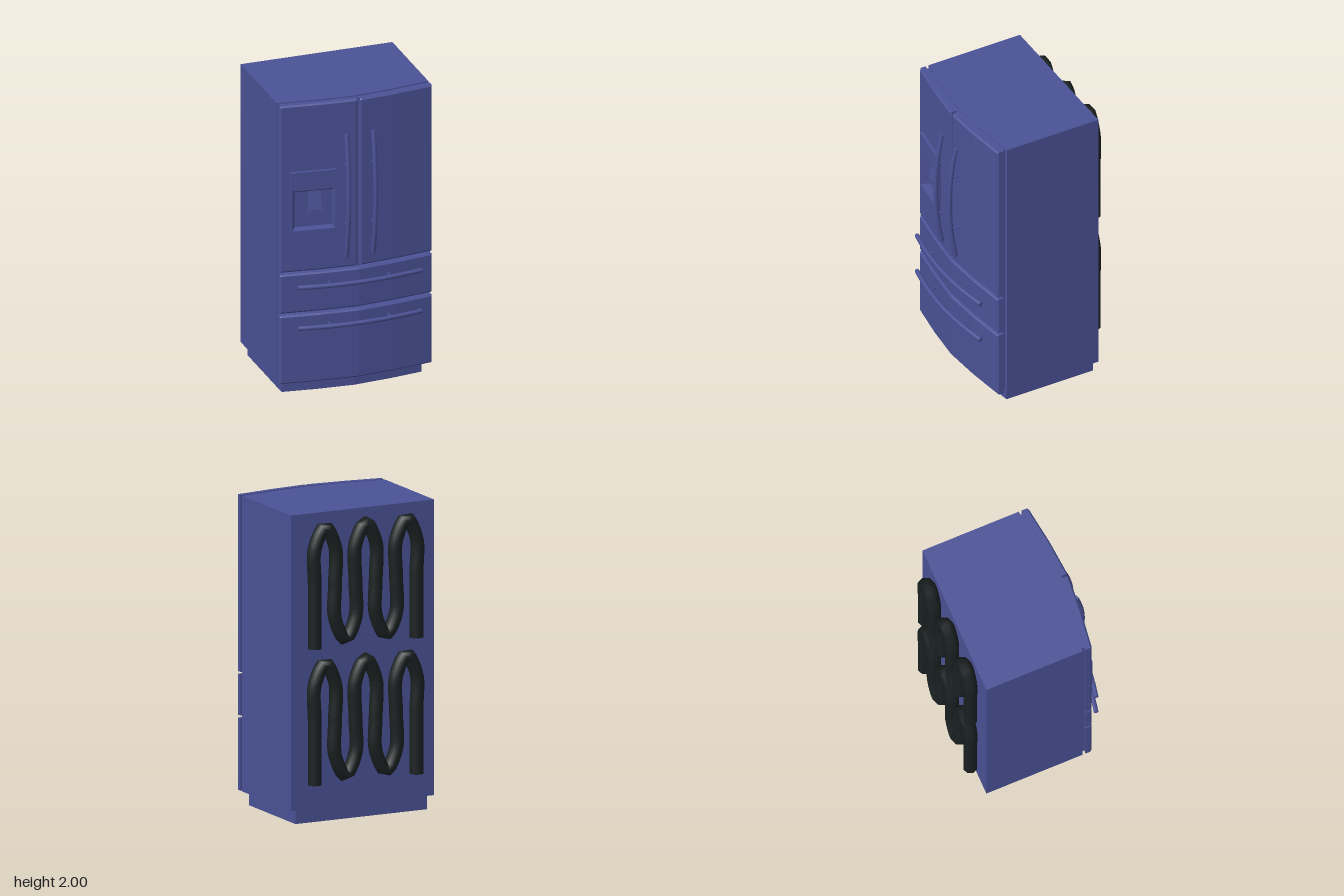
import * as THREE from 'three';

const blue = new THREE.MeshStandardMaterial({ color: 0x4a5296 });
const blueThin = new THREE.MeshStandardMaterial({ color: 0x4a5296, side: THREE.DoubleSide });
const black = new THREE.MeshStandardMaterial({ color: 0x1a2020 });

// forward bulge of the bowed front at a given x
function bulge(x) {
  const a = Math.abs(x);
  return a < 0.25 ? 0.055 - 0.08 * a : 0.035 * (0.51 - a) / 0.26;
}

function add(parent, name, geometry, material = blue) {
  const mesh = new THREE.Mesh(geometry, material);
  mesh.name = name;
  parent.add(mesh);
  return mesh;
}

// upright slab with a flat back and a bowed front
function bowedSlab(halfWidth, back, front, y0, y1) {
  const shape = new THREE.Shape();
  shape.moveTo(-halfWidth, -back);
  for (const x of [-halfWidth, -0.25, 0, 0.25, halfWidth]) shape.lineTo(x, -front - bulge(x));
  shape.lineTo(halfWidth, -back);
  const g = new THREE.ExtrudeGeometry(shape, { depth: y1 - y0, bevelEnabled: false });
  return g.rotateX(-Math.PI / 2).translate(0, y0, 0);
}

// flat-shaded geometry from four-cornered faces
function fromQuads(quads) {
  const pos = [];
  for (const [a, b, c, d] of quads) pos.push(...a, ...b, ...c, ...a, ...c, ...d);
  const g = new THREE.BufferGeometry();
  g.setAttribute('position', new THREE.Float32BufferAttribute(pos, 3));
  g.computeVertexNormals();
  return g;
}

// bowed door or drawer front with chamfered edges and an optional opening
function doorPanel(x0, x1, y0, y1, hole) {
  const bevel = 0.01;
  const xs = [x0, x0 + bevel, x1 - bevel, x1];
  const ys = [y0, y0 + bevel, y1 - bevel, y1];
  for (const x of [-0.25, 0, 0.25]) if (x > x0 + bevel && x < x1 - bevel) xs.push(x);
  if (hole) {
    xs.push(hole.x0, hole.x1);
    ys.push(hole.y0, hole.y1);
  }
  xs.sort((a, b) => a - b);
  ys.sort((a, b) => a - b);
  const front = (x, y) => {
    const rim = x === x0 || x === x1 || y === y0 || y === y1;
    return [x, y, 0.345 + bulge(x) - (rim ? bevel : 0)];
  };
  const back = (x, y) => [x, y, 0.3 + bulge(x)];
  const quads = [];
  for (let i = 0; i < xs.length - 1; i++) {
    const a = xs[i], b = xs[i + 1];
    for (let j = 0; j < ys.length - 1; j++) {
      const c = ys[j], d = ys[j + 1];
      if (hole && a >= hole.x0 && b <= hole.x1 && c >= hole.y0 && d <= hole.y1) continue;
      quads.push([front(a, c), front(b, c), front(b, d), front(a, d)]);
      quads.push([back(b, c), back(a, c), back(a, d), back(b, d)]);
    }
    quads.push([front(a, y1), front(b, y1), back(b, y1), back(a, y1)]);
    quads.push([back(a, y0), back(b, y0), front(b, y0), front(a, y0)]);
  }
  quads.push([front(x1, y0), back(x1, y0), back(x1, y1), front(x1, y1)]);
  quads.push([back(x0, y0), front(x0, y0), front(x0, y1), back(x0, y1)]);
  return fromQuads(quads);
}

// tube along a curve with flat end caps
function cappedTube(parent, name, curve, segments, radius, sides, material) {
  const group = new THREE.Group();
  group.name = name;
  add(group, name + 'Tube', new THREE.TubeGeometry(curve, segments, radius, sides), material);
  for (const t of [0, 1]) {
    const cap = add(group, name + 'Cap', new THREE.CircleGeometry(radius, sides), material);
    const outward = curve.getTangentAt(t).multiplyScalar(t ? 1 : -1);
    cap.position.copy(curve.getPointAt(t));
    cap.quaternion.setFromUnitVectors(new THREE.Vector3(0, 0, 1), outward);
  }
  parent.add(group);
  return group;
}

// bowed bar along y with two posts; turned on its side for the drawers
function handle(parent, name, x, y, half, postAt, postBack, sideways) {
  const curve = new THREE.QuadraticBezierCurve3(
    new THREE.Vector3(0, -half, 0.415),
    new THREE.Vector3(0, 0, 0.505),
    new THREE.Vector3(0, half, 0.415));
  const group = cappedTube(parent, name, curve, 16, 0.015, 10, blue);
  for (const s of [-1, 1]) {
    const length = 0.45 - postBack;
    const post = add(group, name + 'Post', new THREE.CylinderGeometry(0.006, 0.006, length, 8));
    post.rotation.x = Math.PI / 2;
    post.position.set(0, s * postAt, postBack + length / 2);
  }
  group.position.set(x, y, 0);
  if (sideways) group.rotation.z = Math.PI / 2;
}

// dispenser: bezel, recessed tray and paddle, turned to follow the door
function dispenser() {
  const group = new THREE.Group();
  group.name = 'dispenser';
  const rect = (Type, x0, x1, y0, y1) => new Type([[x0, y0], [x1, y0], [x1, y1], [x0, y1]]
    .map(p => new THREE.Vector2(...p)));
  const bezel = rect(THREE.Shape, -0.148, 0.148, 1.13, 1.545);
  bezel.holes.push(rect(THREE.Path, -0.138, 0.138, 1.145, 1.42));
  add(group, 'dispenserBezel',
    new THREE.ExtrudeGeometry(bezel, { depth: 0.025, bevelEnabled: false }).translate(0, 0, -0.025));

  const o = [[-0.138, 1.145, -0.002], [0.138, 1.145, -0.002], [0.138, 1.42, -0.002], [-0.138, 1.42, -0.002]];
  const r = [[-0.11, 1.15, -0.055], [0.132, 1.15, -0.055], [0.132, 1.39, -0.055], [-0.11, 1.39, -0.055]];
  const quads = [r];
  for (let i = 0; i < 4; i++) {
    const k = (i + 1) % 4;
    quads.push([o[i], o[k], r[k], r[i]]);
  }
  add(group, 'dispenserRecess', fromQuads(quads), blueThin);

  const paddle = new THREE.Shape();
  paddle.moveTo(-0.038, 0);
  paddle.lineTo(-0.048, -0.135);
  paddle.quadraticCurveTo(0, -0.105, 0.048, -0.135);
  paddle.lineTo(0.038, 0);
  paddle.quadraticCurveTo(0, 0.012, -0.038, 0);
  const mesh = add(group, 'dispenserPaddle',
    new THREE.ExtrudeGeometry(paddle, { depth: 0.008, bevelEnabled: false, curveSegments: 6 }));
  mesh.position.set(0.014, 1.39, -0.05);
  mesh.rotation.x = -0.2;

  group.position.set(-0.3025, 0, 0.393);
  group.rotation.y = -0.118;
  return group;
}

// serpentine condenser coil: six runs joined by rounded bends
function coil(parent, name, y0) {
  const pitch = 0.145, points = [];
  const low = y0 + 0.05, high = y0 + 0.78;
  for (let i = 0; i < 6; i++) {
    const x = 0.365 - i * pitch;
    const run = [low + 0.13, (low + high) / 2, high - 0.13];
    if (i % 2) run.reverse();
    if (i === 0) points.push([x, y0 + 0.005]);
    for (const y of run) points.push([x, y]);
    if (i < 5) points.push([x - pitch / 2, i % 2 ? low : high]);
    else points.push([x, y0 + 0.005]);
  }
  const curve = new THREE.CatmullRomCurve3(points.map(([x, y]) => new THREE.Vector3(x, y, -0.427)));
  cappedTube(parent, name, curve, 150, 0.046, 8, black);
}

export function createModel() {
  const model = new THREE.Group();
  model.name = 'refrigerator';

  // cabinet, door seal and plinth
  add(model, 'cabinet', bowedSlab(0.51, -0.38, 0.28, 0.09, 2));
  add(model, 'doorSeal', bowedSlab(0.49, 0.2, 0.301, 0.097, 1.993));
  add(model, 'plinth', bowedSlab(0.47, -0.365, 0.255, 0, 0.09));

  // doors and drawers
  const hole = { x0: -0.444, x1: -0.161, y0: 1.14, y1: 1.425 };
  add(model, 'rightDoor', doorPanel(-0.51, -0.008, 0.857, 2, hole));
  add(model, 'leftDoor', doorPanel(0.008, 0.51, 0.857, 2));
  add(model, 'upperDrawer', doorPanel(-0.51, 0.51, 0.575, 0.84));
  add(model, 'lowerDrawer', doorPanel(-0.51, 0.51, 0.09, 0.557));
  model.add(dispenser());

  // handles
  handle(model, 'rightDoorHandle', -0.09, 1.36, 0.42, 0.203, 0.38, false);
  handle(model, 'leftDoorHandle', 0.09, 1.36, 0.42, 0.203, 0.38, false);
  handle(model, 'upperDrawerHandle', 0, 0.77, 0.415, 0.2, 0.37, true);
  handle(model, 'lowerDrawerHandle', 0, 0.49, 0.415, 0.2, 0.37, true);

  // rear coils
  coil(model, 'upperCoil', 1.13);
  coil(model, 'lowerCoil', 0.25);
  return model;
}
